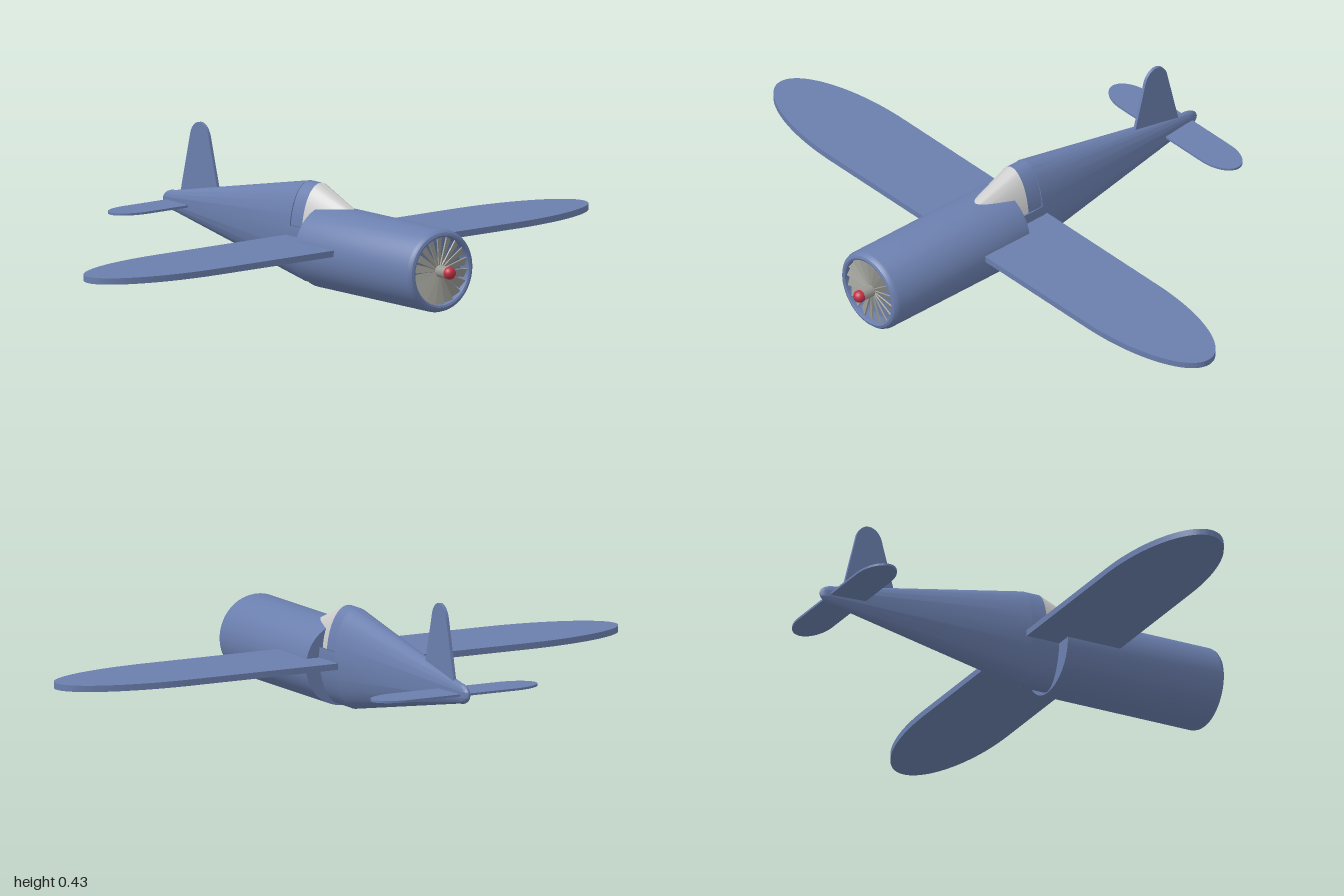
import * as THREE from 'three';
import { toCreasedNormals } from 'three/addons/utils/BufferGeometryUtils.js';

const mat = (color) => new THREE.MeshStandardMaterial({ color, side: THREE.DoubleSide });

export function createModel() {
  const plane = new THREE.Group();
  plane.name = 'airplane';
  const blue = mat(0x6b7fae), grey = mat(0xcccccc), metal = mat(0x9a9a94), red = mat(0xc03045);

  const add = (name, geometry, material, x = 0, y = 0, z = 0, parent = plane) => {
    const mesh = new THREE.Mesh(geometry, material);
    mesh.name = name;
    mesh.position.set(x, y, z);
    parent.add(mesh);
    return mesh;
  };

  // Turned body along x from [x, radius] pairs; angles run from the right side, under the belly
  const turned = (profile, zScale = 1, start = 0, sweep = Math.PI * 2) => {
    const pts = profile.map(([x, r]) => new THREE.Vector2(r, x));
    const g = new THREE.LatheGeometry(pts, 64, start, sweep);
    g.rotateZ(-Math.PI / 2).scale(1, 1, zScale);
    return toCreasedNormals(g, 0.5);
  };

  // Flat planform with straight sides and half-elliptical tips, lying in xz
  const planform = (chord, halfSpan, straight, thick) => {
    const s = new THREE.Shape();
    s.absellipse(0, straight, chord / 2, halfSpan - straight, 0, Math.PI, false);
    s.absellipse(0, -straight, chord / 2, halfSpan - straight, Math.PI, Math.PI * 2, false);
    s.closePath();
    const g = new THREE.ExtrudeGeometry(s, { depth: thick, bevelEnabled: false, curveSegments: 32 });
    g.translate(0, 0, -thick / 2).rotateX(-Math.PI / 2);
    return toCreasedNormals(g, 0.5);
  };

  // Tapered oval fuselage with a rounded tail end
  const tail = [];
  for (let i = 0; i <= 8; i++) {
    const a = (i / 8) * Math.PI / 2;
    tail.push([-0.655 - 0.055 * Math.cos(a), 0.033 * Math.sin(a)]);
  }
  add('fuselage', turned([...tail, [0, 0.16], [0, 0]], 0.5), blue, 0, 0.17, 0);

  // Belly under the cockpit, then cockpit frame and windscreen above it
  const lift = 0.17;
  add('belly', turned([[0, 0.16], [0.1, 0.16], [0.12, 0.1]], 0.5, -lift, Math.PI + 2 * lift), blue, 0, 0.17, 0);
  const upper = [Math.PI + lift, Math.PI - 2 * lift];
  add('cockpitFrame', turned([[0, 0.16], [0.055, 0.16]], 0.475, ...upper), blue, 0, 0.17, 0);
  add('windscreen', turned([[0.055, 0.16], [0.3, 0.062]], 0.475, ...upper), grey, 0, 0.17, 0);

  // Round engine cowling with a rolled lip and recessed intake
  const cowlY = 0.137, cowlZ = 0.004;
  add('cowling', turned([
    [0.095, 0], [0.095, 0.131], [0.635, 0.131], [0.645, 0.128], [0.652, 0.122],
    [0.655, 0.114], [0.652, 0.108], [0.645, 0.107], [0.61, 0.107], [0.61, 0],
  ]), blue, 0, cowlY, cowlZ);

  // Ring of pitched fan vanes inside the intake
  const vanes = new THREE.Group();
  vanes.name = 'fanVanes';
  vanes.position.set(0.638, cowlY, cowlZ);
  plane.add(vanes);
  const vane = new THREE.BoxGeometry(0.004, 0.092, 0.032);
  const p = vane.attributes.position;
  for (let i = 0; i < p.count; i++) if (p.getY(i) < 0) p.setZ(i, p.getZ(i) * 0.25);
  vane.rotateY(0.45).translate(0, 0.06, 0);
  for (let i = 0; i < 18; i++) {
    add('vane', vane, metal, 0, 0, 0, vanes).rotation.x = (i / 18) * Math.PI * 2;
  }

  // Shaft and spinner
  add('shaft', new THREE.CylinderGeometry(0.019, 0.019, 0.08, 32).rotateZ(Math.PI / 2), metal, 0.65, cowlY, cowlZ);
  add('spinner', new THREE.SphereGeometry(0.02, 32, 20), red, 0.688, cowlY, cowlZ);

  // Wing and tailplane run straight through the body
  add('wing', planform(0.3, 1, 0.6, 0.02), blue, 0.13, 0.154, 0);
  add('tailplane', planform(0.12, 0.293, 0.19, 0.007), blue, -0.62, 0.168, -0.004);

  // Upright fin with a rounded top
  const f = new THREE.Shape();
  f.moveTo(-0.635, 0.17);
  f.lineTo(-0.43, 0.17);
  f.lineTo(-0.488, 0.385);
  f.bezierCurveTo(-0.5, 0.452, -0.57, 0.452, -0.582, 0.385);
  f.closePath();
  const fin = new THREE.ExtrudeGeometry(f, { depth: 0.01, bevelEnabled: false, curveSegments: 24 });
  add('fin', toCreasedNormals(fin, 0.5), blue, 0, 0, -0.009);

  return plane;
}
